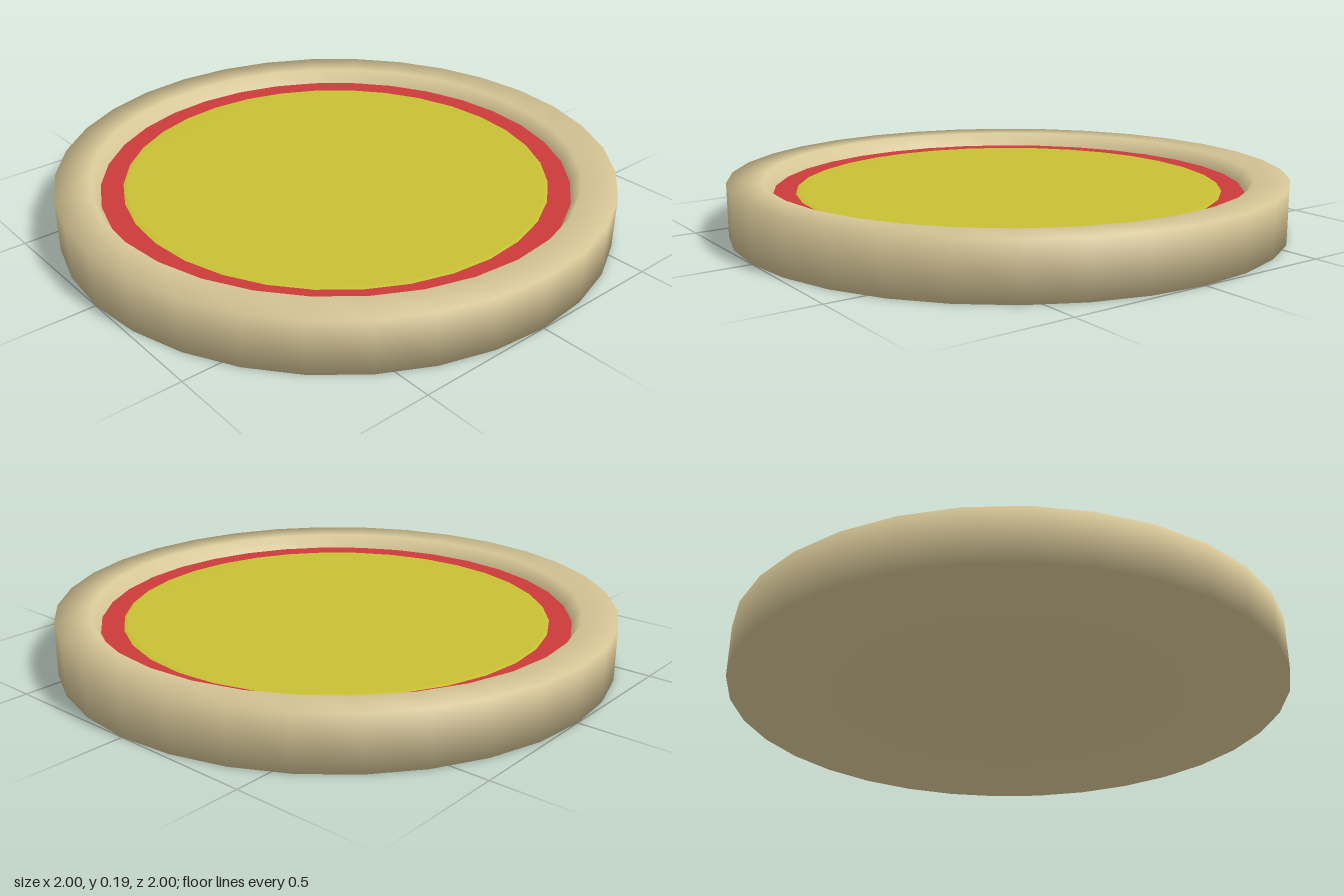
import * as THREE from 'three';
import { mergeVertices } from 'three/addons/utils/BufferGeometryUtils.js';

const SIDES = 32;

// Turned part with fully shared, area-weighted smooth normals
function turned(name, color, profile) {
  const lathe = new THREE.LatheGeometry(profile.map(([r, y]) => new THREE.Vector2(r, y)), SIDES);
  lathe.deleteAttribute('normal');
  lathe.deleteAttribute('uv');
  const geometry = mergeVertices(lathe, 1e-5);
  geometry.computeVertexNormals();
  const mesh = new THREE.Mesh(geometry, new THREE.MeshStandardMaterial({ color }));
  mesh.name = name;
  return mesh;
}

export function createModel() {
  const group = new THREE.Group();
  group.name = 'roundDish';

  // Crust: flat base, straight wall, broad flat rim and sloping inner wall
  group.add(turned('crust', 0xd9c898, [[0, 0], [1, 0], [1, 0.19], [0.875, 0.19], [0.845, 0.14]]));

  // Red ring inside the rim
  group.add(turned('sauceRing', 0xcc3a3a, [[0.845, 0.14], [0.765, 0.14]]));

  // Yellow disc, barely raised with a soft edge
  group.add(turned('cheeseDisc', 0xc8c034, [[0.765, 0.14], [0.75, 0.145], [0, 0.145]]));

  return group;
}
